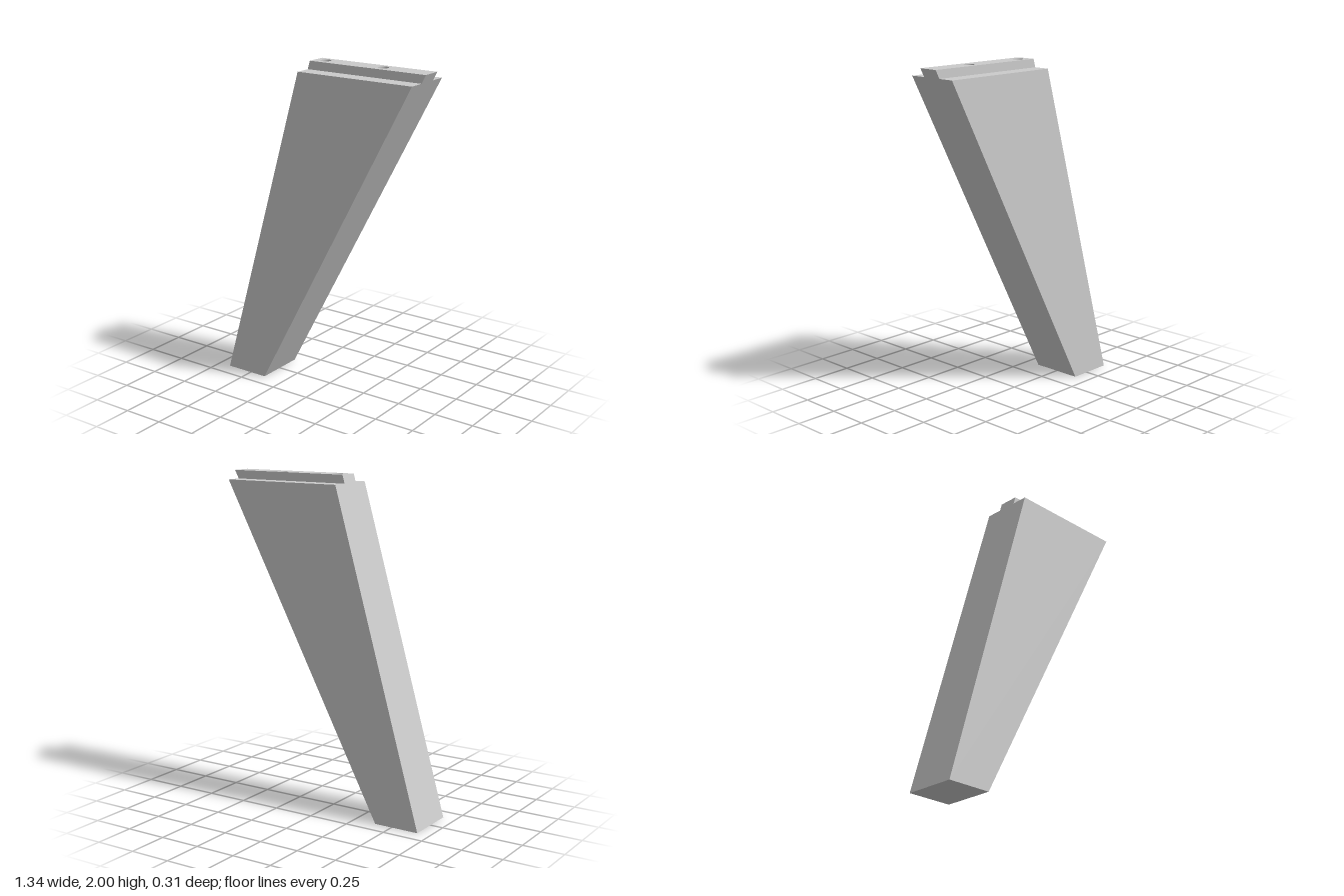
import * as THREE from 'three';

const HEIGHT = 2, SHOULDER = 1.95;
const HALF_BODY = 0.157, HALF_TENON = 0.06;
const HOLE_XS = [-0.028, 0.362], HOLE_RADIUS = 0.032, HOLE_DEPTH = 0.25;

// Sloping left and right edges of the leg at height y
const edgeMin = (y) => THREE.MathUtils.lerp(-0.67, -0.098, y / HEIGHT);
const edgeMax = (y) => THREE.MathUtils.lerp(-0.39, 0.67, y / HEIGHT);

// T-shaped section run along x, then its ends slanted to the leg's edges
function legGeometry() {
  const section = new THREE.Shape([
    [-HALF_BODY, 0], [HALF_BODY, 0], [HALF_BODY, SHOULDER], [HALF_TENON, SHOULDER],
    [HALF_TENON, HEIGHT], [-HALF_TENON, HEIGHT], [-HALF_TENON, SHOULDER], [-HALF_BODY, SHOULDER],
  ].map(([z, y]) => new THREE.Vector2(z, y)));
  const solid = new THREE.ExtrudeGeometry(section, { depth: 1, bevelEnabled: false });
  solid.rotateY(Math.PI / 2);
  const p = solid.attributes.position;
  const kept = [];
  for (let i = 0; i < p.count; i += 3) {
    // The tenon's top is left open for the drilled face
    if ([0, 1, 2].every((k) => p.getY(i + k) > HEIGHT - 1e-4)) continue;
    for (let k = i; k < i + 3; k++) {
      const y = p.getY(k);
      kept.push(THREE.MathUtils.lerp(edgeMin(y), edgeMax(y), p.getX(k)), y, p.getZ(k));
    }
  }
  const geometry = new THREE.BufferGeometry();
  geometry.setAttribute('position', new THREE.Float32BufferAttribute(kept, 3));
  geometry.computeVertexNormals();
  return geometry;
}

// Top of the tenon with two round openings
function tenonTopGeometry() {
  const x0 = edgeMin(HEIGHT), x1 = edgeMax(HEIGHT);
  const shape = new THREE.Shape([
    new THREE.Vector2(x0, -HALF_TENON), new THREE.Vector2(x1, -HALF_TENON),
    new THREE.Vector2(x1, HALF_TENON), new THREE.Vector2(x0, HALF_TENON),
  ]);
  for (const x of HOLE_XS) {
    shape.holes.push(new THREE.Path().absarc(x, 0, HOLE_RADIUS, 0, Math.PI * 2, true));
  }
  return new THREE.ShapeGeometry(shape, 16).rotateX(-Math.PI / 2).translate(0, HEIGHT, 0);
}

export function createModel() {
  const model = new THREE.Group();
  model.name = 'taperedLeg';
  const grey = new THREE.MeshStandardMaterial({ color: 0xcccccc });
  const inside = new THREE.MeshStandardMaterial({ color: 0xcccccc, side: THREE.BackSide });
  const add = (name, geometry, material = grey) => {
    const mesh = new THREE.Mesh(geometry, material);
    mesh.name = name;
    model.add(mesh);
    return mesh;
  };

  add('legBody', legGeometry());
  add('tenonTop', tenonTopGeometry());

  // Blind dowel holes: inner wall and floor
  HOLE_XS.forEach((x, i) => {
    const wall = new THREE.CylinderGeometry(HOLE_RADIUS, HOLE_RADIUS, HOLE_DEPTH, 32, 1, true);
    add(`dowelHoleWall${i + 1}`, wall, inside).position.set(x, HEIGHT - HOLE_DEPTH / 2, 0);
    const floor = new THREE.CircleGeometry(HOLE_RADIUS, 32).rotateX(-Math.PI / 2);
    add(`dowelHoleFloor${i + 1}`, floor).position.set(x, HEIGHT - HOLE_DEPTH, 0);
  });
  return model;
}
